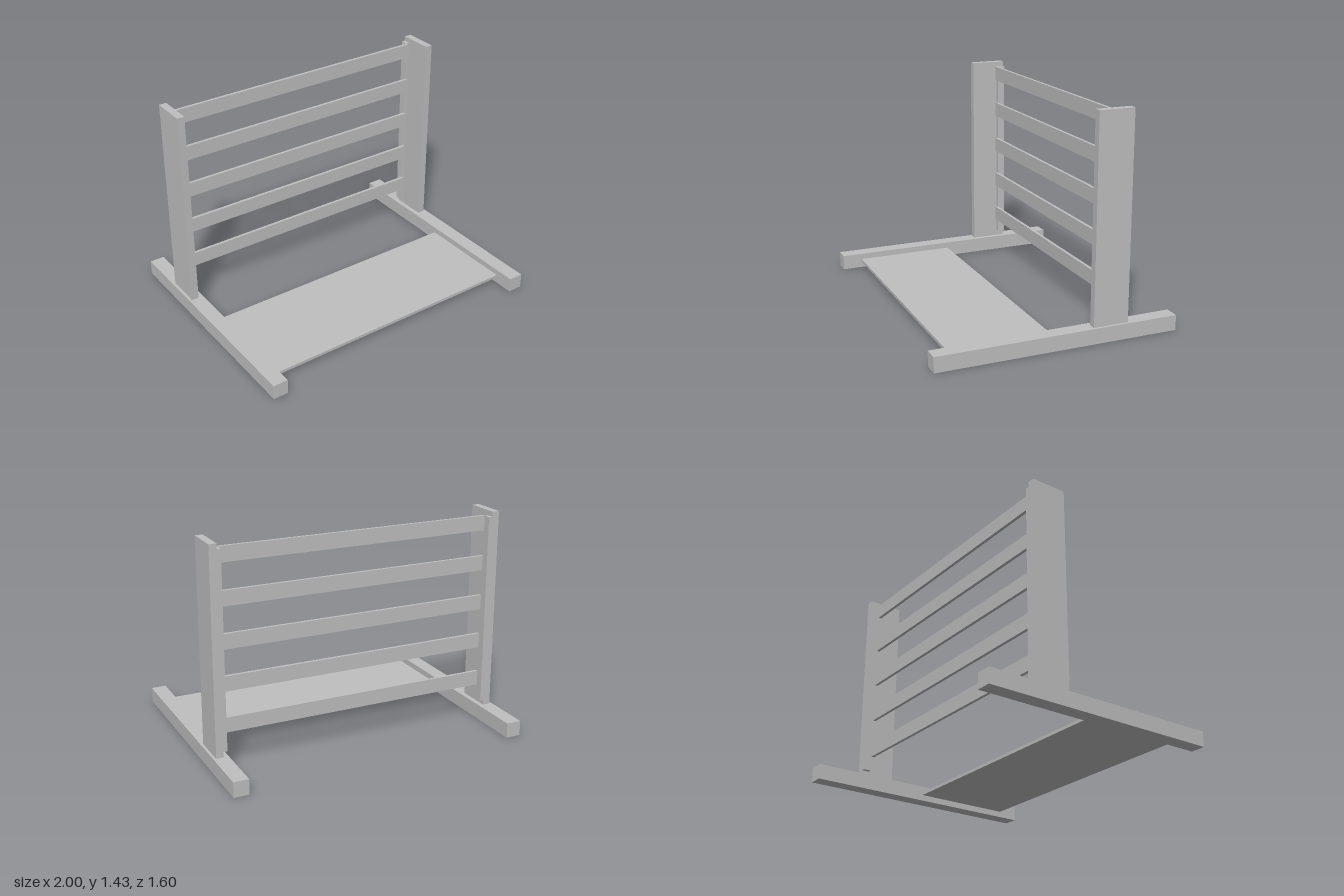
import * as THREE from 'three';

export function createModel() {
  const group = new THREE.Group();
  const grey = new THREE.MeshStandardMaterial({ color: 0xbfbfbf });
  grey.name = 'plainGrey';

  // Box given by its extents along each axis
  function box(name, [x0, x1], [y0, y1], [z0, z1]) {
    const mesh = new THREE.Mesh(new THREE.BoxGeometry(x1 - x0, y1 - y0, z1 - z0), grey);
    mesh.position.set((x0 + x1) / 2, (y0 + y1) / 2, (z0 + z1) / 2);
    mesh.name = name;
    group.add(mesh);
  }

  // The same box on both sides
  function pair(name, [x0, x1], y, z) {
    box('left' + name, [x0, x1], y, z);
    box('right' + name, [-x1, -x0], y, z);
  }

  // Side frames: floor runner, upright post and inner batten
  pair('Runner', [0.9, 1], [0, 0.1], [-0.8, 0.8]);
  pair('Post', [0.933, 0.982], [0.1, 1.433], [-0.467, -0.233]);
  pair('Batten', [0.908, 0.933], [0.135, 1.4], [-0.467, -0.417]);

  // Horizontal slats, evenly spaced
  for (let i = 0; i < 5; i++) {
    const y = 0.235 + i * 0.267;
    box('slat' + (i + 1), [-0.908, 0.908], [y, y + 0.098], [-0.417, -0.397]);
  }

  // Low shelf between the runners
  box('shelf', [-0.9, 0.9], [0.04, 0.06], [0, 0.667]);

  return group;
}
